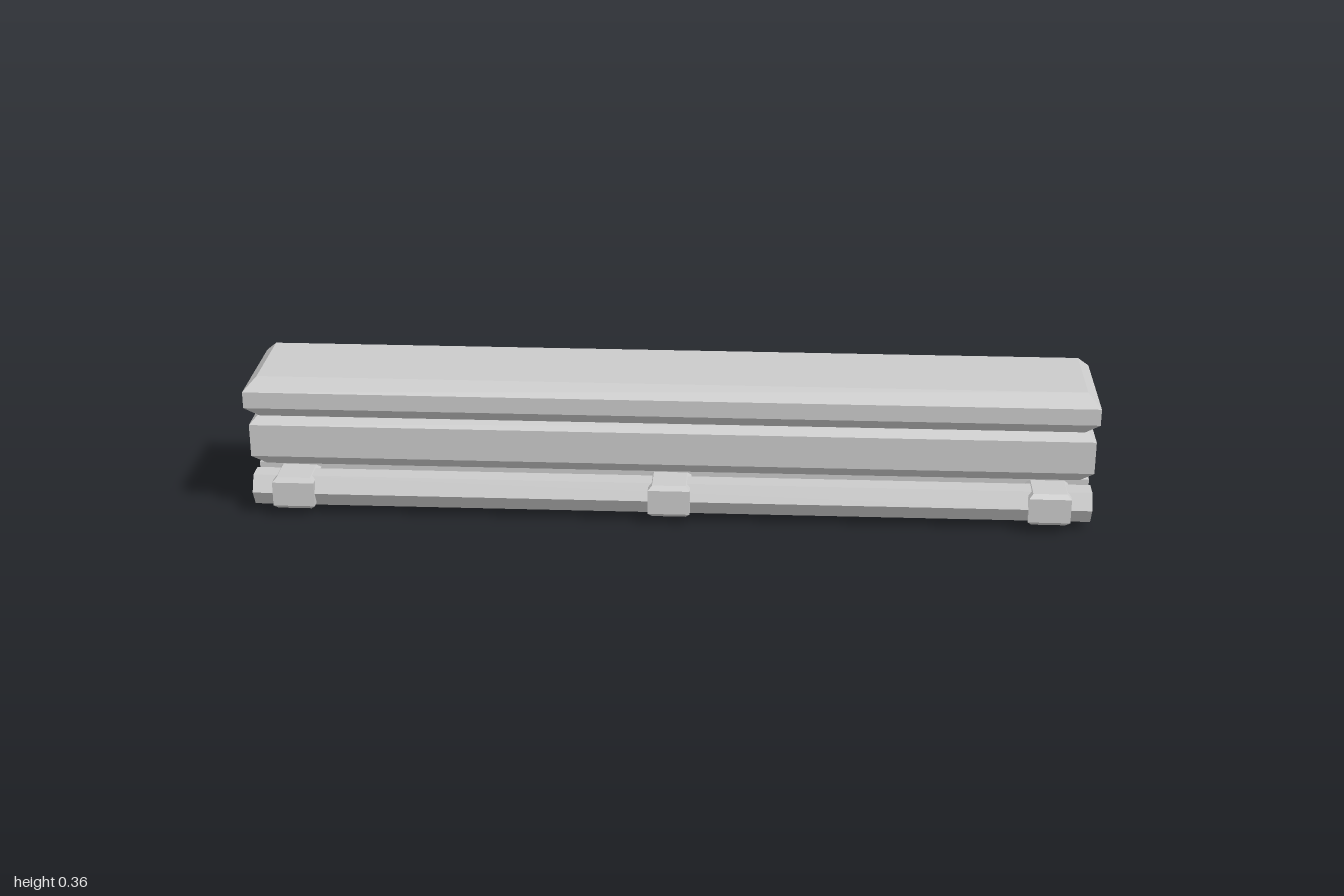
import * as THREE from 'three';

const material = new THREE.MeshStandardMaterial({ color: 0xcccccc, flatShading: true });

// Box whose top and bottom edges are bevelled by c, with sharp upright corners
function bevelledBox(width, height, depth, c) {
  const box = new THREE.BoxGeometry(width, height, depth, 1, 3, 1);
  const p = box.attributes.position;
  for (let i = 0; i < p.count; i++) {
    const x = p.getX(i), y = p.getY(i), z = p.getZ(i);
    if (Math.abs(y) > height * 0.4) {
      p.setX(i, x - Math.sign(x) * c);
      p.setZ(i, z - Math.sign(z) * c);
    } else {
      p.setY(i, Math.sign(y) * (height / 2 - c));
    }
  }
  const geometry = box.toNonIndexed();
  geometry.computeVertexNormals();
  return geometry;
}

export function createModel() {
  const model = new THREE.Group();
  model.name = 'steppedLedge';

  function add(name, geometry, x, y, z) {
    const mesh = new THREE.Mesh(geometry, material);
    mesh.name = name;
    mesh.position.set(x, y, z);
    model.add(mesh);
  }

  // Three stacked beams, sharing a flush back face
  const beams = [
    { name: 'lowerBeam', y0: 0, y1: 0.12, front: 0.02, bevel: 0.02 },
    { name: 'middleBeam', y0: 0.12, y1: 0.26, front: 0.1, bevel: 0.03 },
    { name: 'topBeam', y0: 0.26, y1: 0.36, front: 0.14, bevel: 0.03 },
  ];
  const back = -0.14;
  for (const { name, y0, y1, front, bevel } of beams) {
    add(name, bevelledBox(2, y1 - y0, front - back, bevel), 0, (y0 + y1) / 2, (front + back) / 2);
  }

  // Hexagonal pipe along the front of the lower beam
  const pipe = new THREE.CylinderGeometry(0.044, 0.044, 2, 6);
  pipe.rotateZ(Math.PI / 2);
  add('pipe', pipe, 0, 0.06, 0.07);

  // Clamps holding the pipe
  const clamp = bevelledBox(0.1, 0.08, 0.1, 0.01);
  ['rightClamp', 'middleClamp', 'leftClamp'].forEach((name, i) => add(name, clamp, (i - 1) * 0.9, 0.06, 0.07));

  return model;
}
